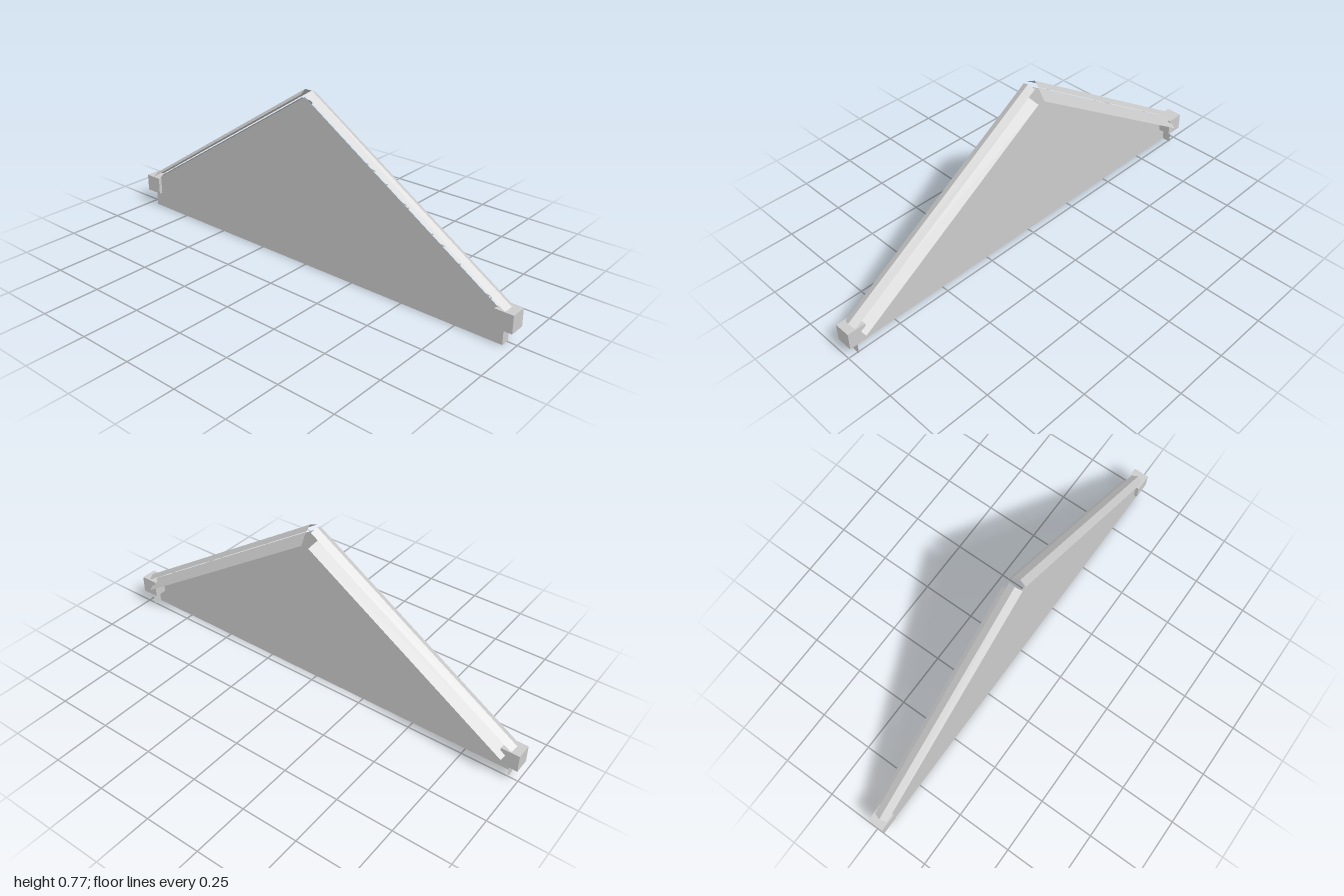
import * as THREE from 'three';

// Unit vectors in (y, z) for the front roof slope: outward normal of the rake
const N = { y: 0.839, z: 0.544 };

export function createModel() {
  const group = new THREE.Group();
  const stone = new THREE.MeshStandardMaterial({ color: 0xcccccc, side: THREE.DoubleSide });
  stone.name = 'paleGrey';

  const add = (name, geometry) => {
    const mesh = new THREE.Mesh(geometry, stone);
    mesh.name = name;
    group.add(mesh);
    return mesh;
  };

  // Bent sheet swept along the rake; profile points are [x, drop along the normal]
  function rakeSheet(profile, low, high, side) {
    const pos = [];
    const at = ([x, d], end) => [x, end.y - N.y * d, side * (end.z - N.z * d)];
    for (let i = 0; i < profile.length - 1; i++) {
      const a = at(profile[i], low), b = at(profile[i + 1], low);
      const c = at(profile[i + 1], high), d = at(profile[i], high);
      const quad = side > 0 ? [a, b, c, a, c, d] : [a, c, b, a, d, c];
      pos.push(...quad.flat());
    }
    const g = new THREE.BufferGeometry();
    g.setAttribute('position', new THREE.Float32BufferAttribute(pos, 3));
    g.computeVertexNormals();
    return g;
  }

  // Gable wall: one flat sheet in the YZ plane
  const outline = new THREE.Shape([
    [-0.957, 0], [0.957, 0], [0.957, 0.13], [0, 0.75], [-0.957, 0.13],
  ].map(([z, y]) => new THREE.Vector2(z, y)));
  const wall = add('gableWall', new THREE.ShapeGeometry(outline).rotateY(-Math.PI / 2));
  wall.position.x = -0.033;

  for (const side of [1, -1]) {
    const end = side > 0 ? 'front' : 'back';

    // Return of the wall below each corner block
    const flange = add(end + 'WallReturn', new THREE.PlaneGeometry(0.041, 0.13));
    flange.position.set(-0.0125, 0.065, side * 0.957);
    if (side < 0) flange.rotation.y = Math.PI;

    // Corner block at the eaves
    const block = add(end + 'CornerBlock', new THREE.BoxGeometry(0.072, 0.078, 0.08));
    block.position.set(-0.012, 0.109, side * 0.96);

    // Peaked coping on the rake
    add(end + 'Coping', rakeSheet(
      [[-0.043, 0.015], [-0.012, 0], [0.019, 0.015]],
      { y: 0.158, z: 0.97 }, { y: 0.775, z: 0.018 }, side));

    // Sloping moulding below the coping on the open side
    add(end + 'RakeMoulding', rakeSheet(
      [[-0.01, -0.036], [0.045, 0]],
      { y: 0.11, z: 0.935 }, { y: 0.705, z: 0.017 }, side));
  }
  return group;
}
